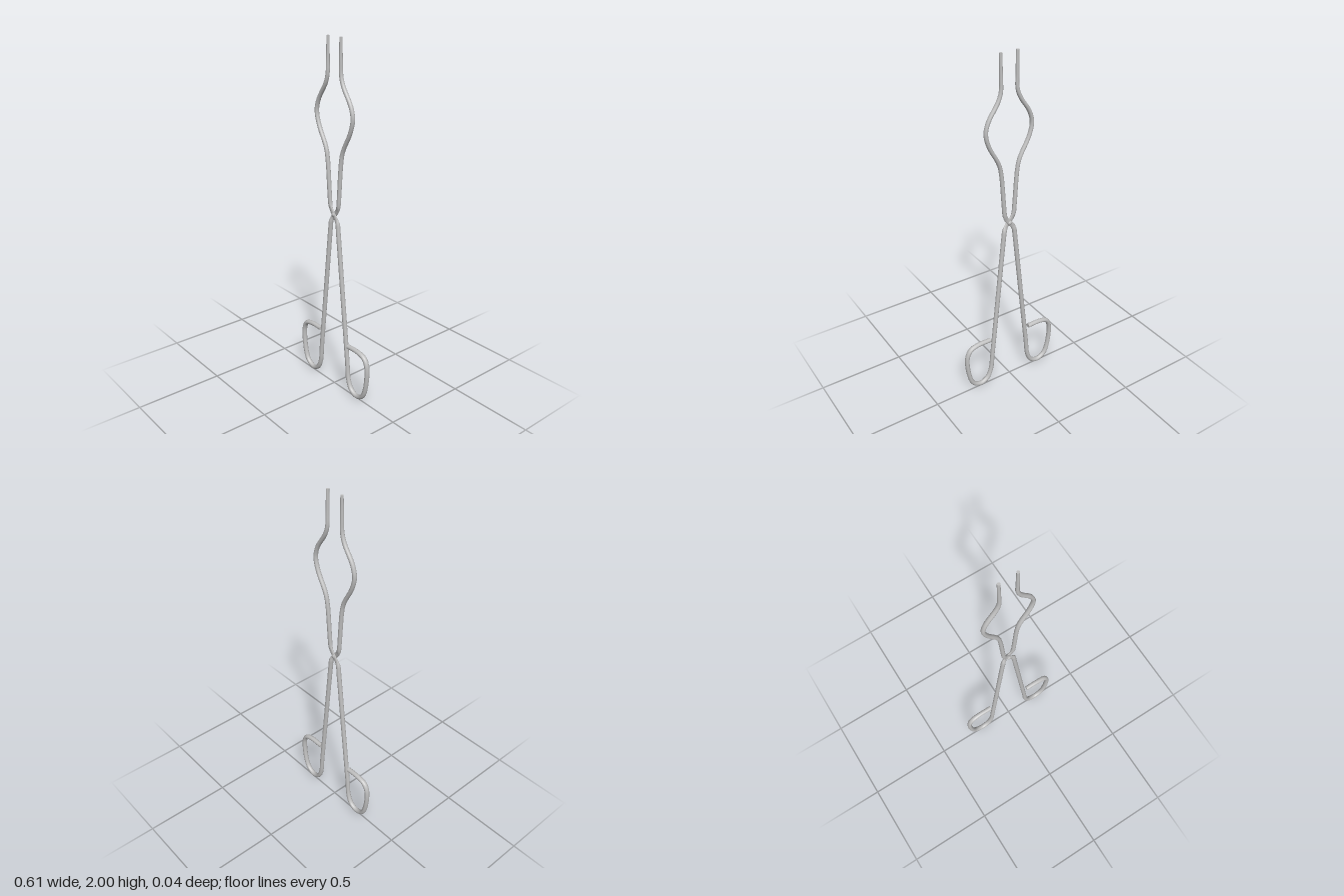
import * as THREE from 'three';

// Rod stations: x, y, z, in-plane radius, depth radius
const ARM = [
  [-0.13, 0.305, -0.006, 0.013, 0.014],
  [-0.215, 0.305, -0.006, 0.013, 0.0145],
  [-0.265, 0.288, -0.005, 0.013, 0.0155],
  [-0.288, 0.235, -0.005, 0.013, 0.015],
  [-0.272, 0.08, -0.004, 0.013, 0.0145],
  [-0.246, 0.032, -0.004, 0.013, 0.0145],
  [-0.2, 0.013, -0.003, 0.013, 0.0145],
  [-0.156, 0.034, -0.003, 0.013, 0.0145],
  [-0.13, 0.09, -0.003, 0.013, 0.0135],
  [-0.118, 0.2, -0.002, 0.013, 0.013],
  [-0.075, 0.6, -0.002, 0.013, 0.013],
  [-0.036, 0.965, -0.002, 0.013, 0.013],
  [-0.03, 1.012, -0.002, 0.0135, 0.012],
  [-0.02, 1.035, -0.004, 0.0135, 0.006],
  [0, 1.06, -0.005, 0.0145, 0.005],
  [0.02, 1.085, -0.004, 0.0135, 0.006],
  [0.03, 1.11, -0.003, 0.0125, 0.011],
  [0.036, 1.17, -0.003, 0.012, 0.012],
  [0.055, 1.385, -0.003, 0.011, 0.0125],
  [0.072, 1.437, -0.003, 0.011, 0.0125],
  [0.122, 1.53, -0.003, 0.011, 0.0125],
  [0.141, 1.605, -0.003, 0.011, 0.0125],
  [0.124, 1.67, -0.003, 0.011, 0.0125],
  [0.07, 1.753, -0.003, 0.011, 0.012],
  [0.051, 1.805, -0.003, 0.0105, 0.011],
  [0.049, 1.88, -0.002, 0.009, 0.01],
  [0.049, 2.0, -0.001, 0.008, 0.008],
];

// Sweeps an elliptical section along the stations and caps both ends
function rodGeometry(stations, sides = 12, perSpan = 4) {
  const curve = new THREE.CatmullRomCurve3(
    stations.map(([x, y, z]) => new THREE.Vector3(x, y, z)), false, 'centripetal');
  const spans = stations.length - 1;
  const steps = spans * perSpan;
  const pos = [], index = [];
  const ring = (i) => {
    const t = i / steps;
    const k = Math.min(Math.floor(i / perSpan), spans - 1);
    const f = i / perSpan - k;
    const c = curve.getPoint(t), d = curve.getTangent(t);
    const len = Math.hypot(d.x, d.y);
    const ra = THREE.MathUtils.lerp(stations[k][3], stations[k + 1][3], f);
    const rz = THREE.MathUtils.lerp(stations[k][4], stations[k + 1][4], f);
    for (let j = 0; j < sides; j++) {
      const a = (j / sides) * Math.PI * 2;
      const u = Math.cos(a) * ra;
      pos.push(c.x - (d.y / len) * u, c.y + (d.x / len) * u, c.z + Math.sin(a) * rz);
    }
    return c;
  };
  for (let i = 0; i <= steps; i++) ring(i);
  for (let i = 0; i < steps; i++) {
    for (let j = 0; j < sides; j++) {
      const a = i * sides + j, b = i * sides + ((j + 1) % sides);
      index.push(a, b, a + sides, b, b + sides, a + sides);
    }
  }
  // Flat end caps on their own vertices
  for (const end of [0, steps]) {
    const base = pos.length / 3;
    const c = ring(end);
    pos.push(c.x, c.y, c.z);
    for (let j = 0; j < sides; j++) {
      const a = base + j, b = base + ((j + 1) % sides);
      if (end) index.push(base + sides, a, b);
      else index.push(base + sides, b, a);
    }
  }
  const g = new THREE.BufferGeometry();
  g.setAttribute('position', new THREE.Float32BufferAttribute(pos, 3));
  g.setIndex(index);
  g.computeVertexNormals();
  return g;
}

export function createModel() {
  const group = new THREE.Group();
  group.name = 'crucibleTongs';
  const steel = new THREE.MeshStandardMaterial({ color: 0xc0c0c0 });
  steel.name = 'steel';

  // Two identical arms, the second turned half way round the upright axis
  const armGeo = rodGeometry(ARM);
  ['rightHandleArm', 'leftHandleArm'].forEach((name, i) => {
    const arm = new THREE.Mesh(armGeo, steel);
    arm.name = name;
    arm.rotation.y = i * Math.PI;
    group.add(arm);
  });

  // Pivot rivet with a domed head on each face
  const profile = [[0, -0.015], [0.007, -0.014], [0.012, -0.01], [0.012, -0.008], [0.007, -0.006],
    [0.007, 0.006], [0.012, 0.008], [0.012, 0.01], [0.007, 0.014], [0, 0.015]];
  const rivet = new THREE.Mesh(
    new THREE.LatheGeometry(profile.map(([r, y]) => new THREE.Vector2(r, y)), 16), steel);
  rivet.name = 'pivotRivet';
  rivet.rotation.x = Math.PI / 2;
  rivet.position.y = 1.06;
  group.add(rivet);

  return group;
}
